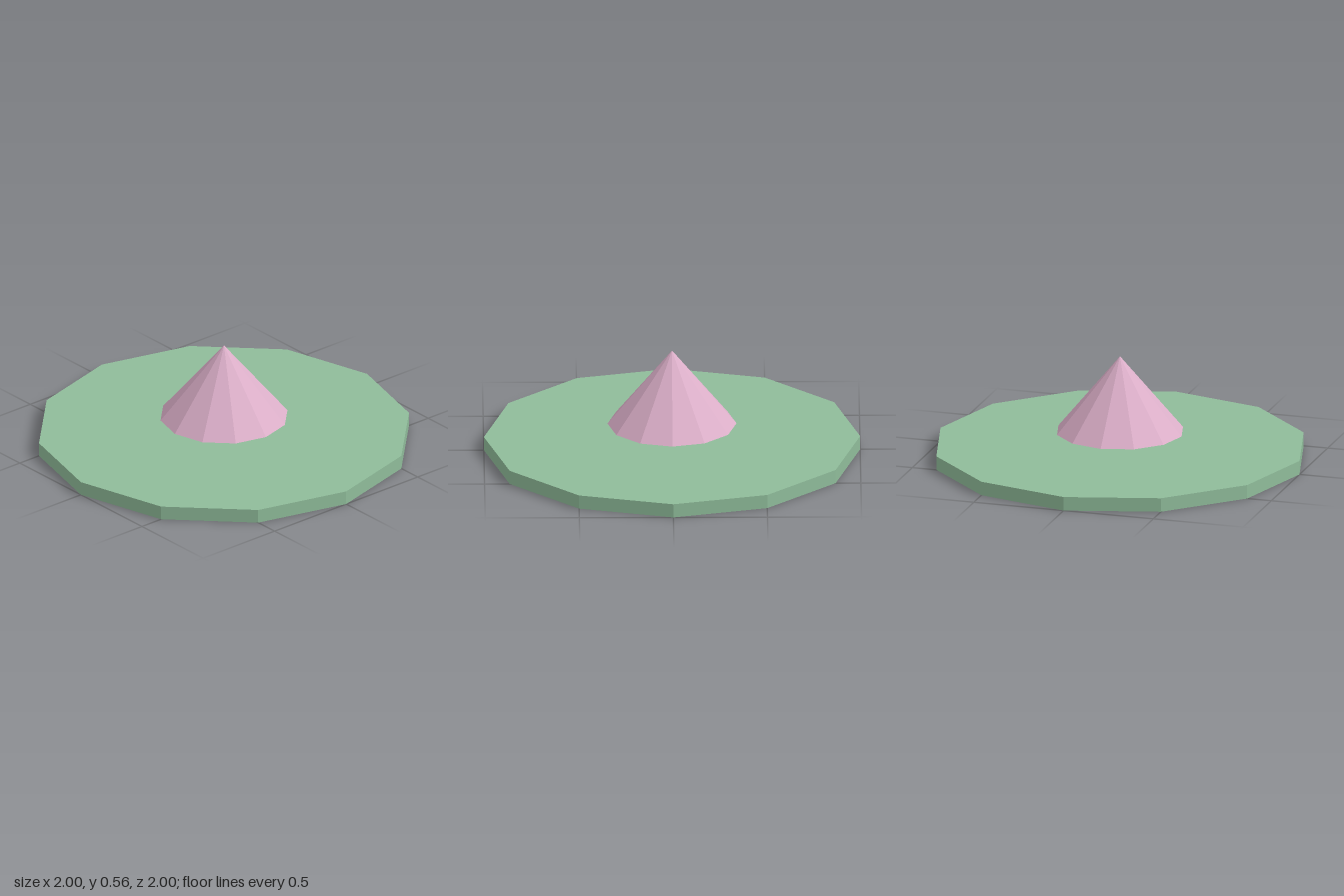
import * as THREE from 'three';

const SIDES = 12;

export function createModel() {
  const model = new THREE.Group();
  model.name = 'hat';

  const green = new THREE.MeshStandardMaterial({ color: 0x8fbc9a, flatShading: true });
  green.name = 'sage green';
  const pink = new THREE.MeshStandardMaterial({ color: 0xdcafc9, flatShading: true });
  pink.name = 'soft pink';

  const add = (name, geometry, material, y) => {
    const mesh = new THREE.Mesh(geometry, material);
    mesh.name = name;
    mesh.position.y = y;
    model.add(mesh);
  };

  // Flat twelve-sided disc standing on the ground
  const discHeight = 0.075;
  add('disc', new THREE.CylinderGeometry(1, 1, discHeight, SIDES), green, discHeight / 2);

  // Cone hovering a little above the disc
  const coneBase = 0.15, coneHeight = 0.415;
  add('cone', new THREE.ConeGeometry(0.343, coneHeight, SIDES), pink, coneBase + coneHeight / 2);

  return model;
}
